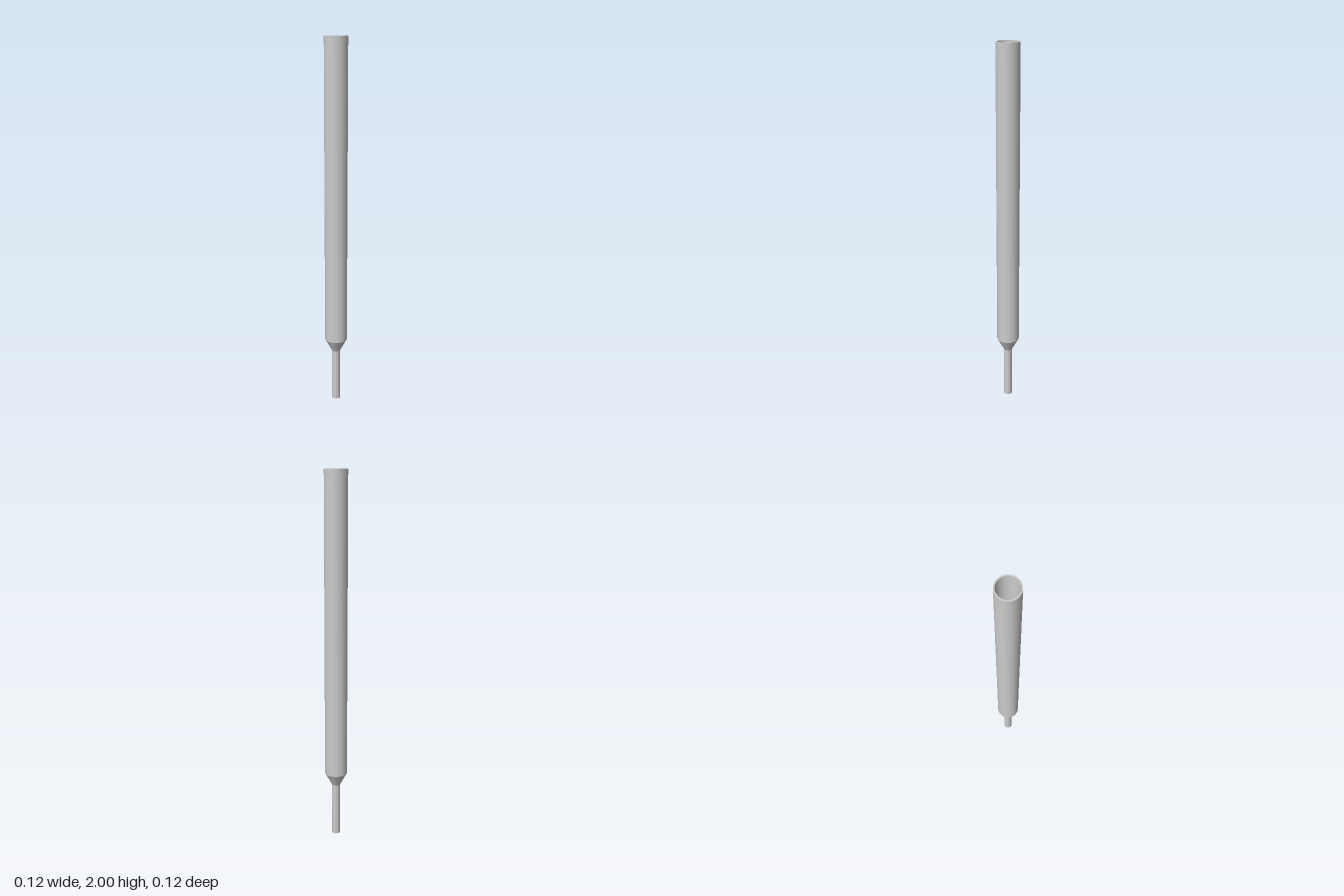
import * as THREE from 'three';
import { toCreasedNormals } from 'three/addons/utils/BufferGeometryUtils.js';

const SIDES = 20;

export function createModel() {
  const group = new THREE.Group();
  group.name = 'steppedTube';

  // Closed wall section: up the outside, over the rim, down the bore
  const profile = [
    [0.018, 0], [0.0235, 0], [0.0235, 0.295], [0.0615, 0.365], [0.0615, 2],
    [0.0545, 2], [0.0545, 0.368], [0.018, 0.298], [0.018, 0],
  ].map(([r, y]) => new THREE.Vector2(r, y));

  // Smooth around the tube, sharp at the rims and the taper
  const geometry = toCreasedNormals(new THREE.LatheGeometry(profile, SIDES), 0.42);
  const tube = new THREE.Mesh(geometry, new THREE.MeshStandardMaterial({ color: 0xcccccc }));
  tube.name = 'hollowTube';
  group.add(tube);

  return group;
}
